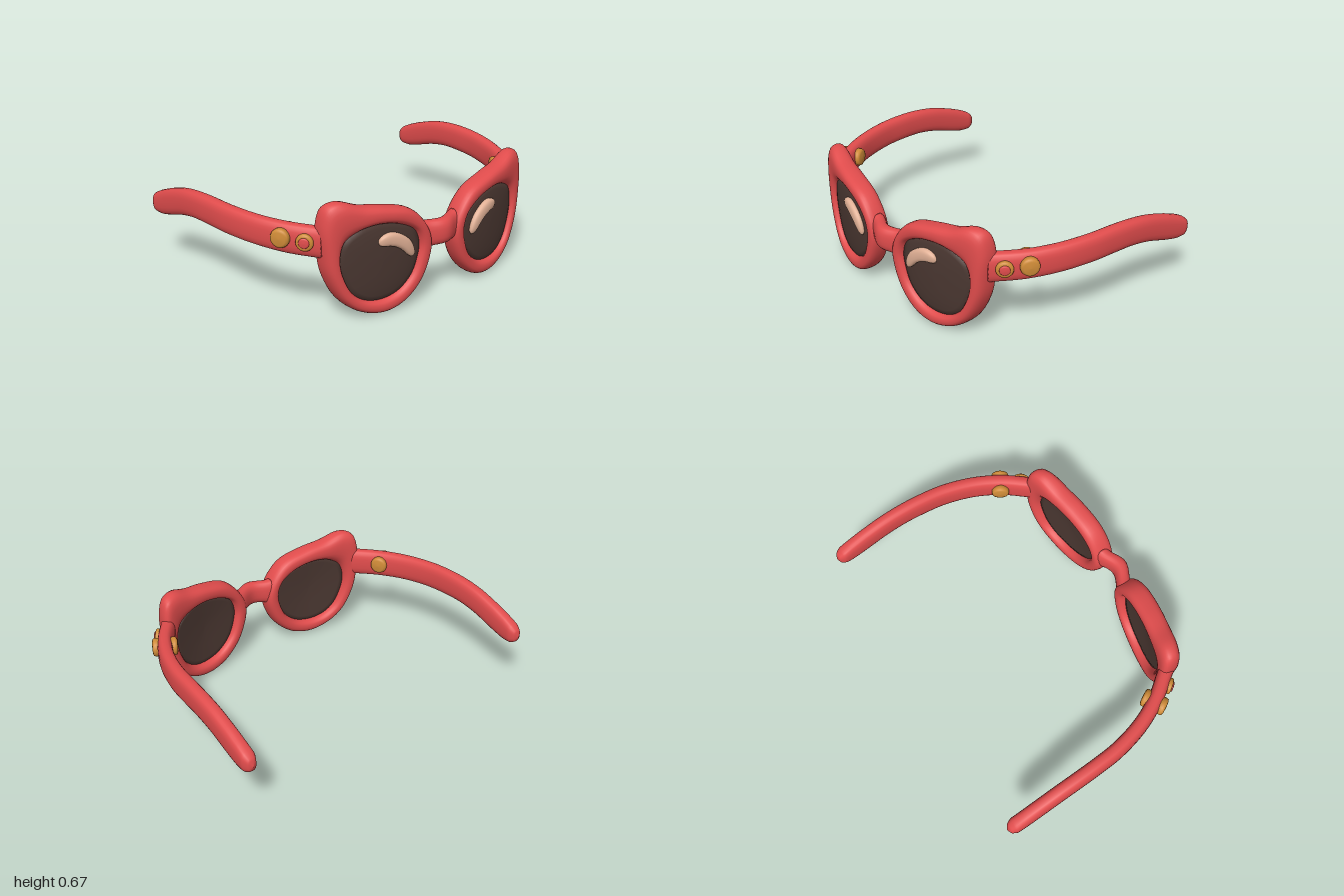
import * as THREE from 'three';

const V = (x, y, z) => new THREE.Vector3(x, y, z);
const mat = (name, color) => {
  const m = new THREE.MeshStandardMaterial({ color });
  m.name = name;
  return m;
};

// Smooth skin over rings of points; faces are turned outward, z mirrored on request
function loft(rings, closed, mirror) {
  const n = rings[0].length, pos = [], idx = [];
  rings.forEach(r => r.forEach(p => pos.push(p.x, p.y, mirror ? -p.z : p.z)));
  const last = closed ? rings.length : rings.length - 1;
  for (let i = 0; i < last; i++) for (let j = 0; j < n; j++) {
    const i2 = (i + 1) % rings.length, j2 = (j + 1) % n;
    const a = i * n + j, b = i * n + j2, c = i2 * n + j2, d = i2 * n + j;
    idx.push(a, b, c, a, c, d);
  }
  // signed volume decides the winding
  const at = k => V(pos[3 * k], pos[3 * k + 1], pos[3 * k + 2]);
  let vol = 0;
  for (let k = 0; k < idx.length; k += 3) vol += at(idx[k]).dot(at(idx[k + 1]).cross(at(idx[k + 2])));
  if (vol < 0) idx.reverse();
  const g = new THREE.BufferGeometry();
  g.setAttribute('position', new THREE.Float32BufferAttribute(pos, 3));
  g.setIndex(idx);
  g.computeVertexNormals();
  return g;
}

// Superellipse ring around p with half axes a and b
function ring(p, a, b, e = 2.5, n = 24) {
  const f = v => Math.sign(v) * Math.abs(v) ** (2 / e);
  return Array.from({ length: n }, (_, i) => {
    const t = i / n * Math.PI * 2;
    return p.clone().addScaledVector(a, f(Math.cos(t))).addScaledVector(b, f(Math.sin(t)));
  });
}

const bend = z => 0.65 - 0.23 * z * z; // wrap of the front
const outline = pts => new THREE.CatmullRomCurve3(pts.map(([z, y]) => V(0, y, z)), true, 'centripetal');

// Matching outer and inner rim outlines as [z, y]
const outer = outline([[.625, .67], [.69, .65], [.72, .56], [.715, .41], [.695, .28], [.625, .13], [.53, .045], [.395, .005],
  [.265, .035], [.155, .13], [.095, .25], [.08, .35], [.115, .45], [.21, .555], [.375, .605], [.505, .63]]);
const inner = outline([[.57, .475], [.6, .45], [.62, .41], [.63, .34], [.61, .25], [.56, .155], [.49, .105], [.395, .09],
  [.295, .115], [.215, .185], [.175, .28], [.165, .355], [.195, .435], [.28, .485], [.4, .513], [.5, .505]]);

function rimRings() {
  return Array.from({ length: 96 }, (_, i) => {
    const o = outer.getPoint(i / 96), n = inner.getPoint(i / 96);
    const p = o.clone().add(n).multiplyScalar(0.5), a = o.sub(n).multiplyScalar(0.5);
    return ring(p, a, V(0.064, 0, 0)).map(q => V(q.x + bend(q.z), q.y, q.z));
  });
}

// Shallow domed lens: [scale about its centre, offset along x]
function lensRings() {
  const steps = [[.001, -.01], [.5, -.012], [.9, -.02], [1.05, -.02], [1.05, .03], [.9, .037], [.7, .043], [.4, .047], [.001, .048]];
  return steps.map(([s, off]) => Array.from({ length: 64 }, (_, i) => {
    const q = inner.getPoint(i / 64);
    const z = 0.4 + (q.z - 0.4) * s, y = 0.31 + (q.y - 0.31) * s;
    return V(bend(z) + off, y, z);
  }));
}

// Bean-shaped highlight on the lens
function glareRings() {
  const c = new THREE.CatmullRomCurve3([[.43, .42], [.355, .427], [.275, .385], [.215, .3]].map(([z, y]) => V(0, y, z)));
  return Array.from({ length: 33 }, (_, i) => {
    const t = i / 32, p = c.getPoint(t), d = c.getTangent(t);
    const s = Math.max(0.002, (1 - Math.abs(2 * t - 1) ** 3) ** 0.5);
    const w = 0.04 - 0.006 * t;
    p.x = bend(p.z) + 0.05;
    return ring(p, V(0, d.z, -d.y).multiplyScalar(w * s), V(0.024 * s, 0, 0), 2.5, 20);
  });
}

// Temple arm: centre line x, y, z and half height
const arm = [[.53, .455, .685, .083], [.5, .456, .705, .084], [.375, .465, .797, .083], [.215, .477, .875, .081], [.03, .488, .924, .08],
  [-.13, .492, .94, .079], [-.25, .487, .946, .077], [-.37, .468, .949, .078], [-.5, .43, .951, .079],
  [-.6, .399, .952, .073], [-.66, .385, .952, .058], [-.69, .38, .952, .036], [-.703, .378, .952, .001]];
const armPath = new THREE.CatmullRomCurve3(arm.map(a => V(a[0], a[1], a[2])));
const armSize = new THREE.CatmullRomCurve3(arm.map(a => V(a[3], 0, 0)));
const armNormal = t => {
  const d = armPath.getTangent(t);
  return V(-d.z, 0, d.x).multiplyScalar(-1).normalize();
};

function armRings() {
  const rings = Array.from({ length: 73 }, (_, i) => {
    const t = i / 72, h = Math.max(0.001, armSize.getPoint(t).x);
    return ring(armPath.getPoint(t), V(0, h, 0), armNormal(t).multiplyScalar(0.043 * Math.min(1, h / 0.06)), 2.7);
  });
  rings.unshift(ring(armPath.getPoint(0), V(0, .001, 0), V(0, 0, .001)));
  return rings;
}

// Rounded button on the arm; side = 1 outside, -1 inside
function studRings(t, side, r, h, base, y) {
  const n = armNormal(t).multiplyScalar(side), u = V(0, 1, 0), w = n.clone().cross(u);
  const p = armPath.getPoint(t);
  p.y = y;
  return [[.001, -.02], [1, -.02], [1, h * .5], [.92, h * .85], [.7, h], [.001, h * 1.08]].map(([s, k]) =>
    ring(p.clone().addScaledVector(n, base + k), u.clone().multiplyScalar(r * s), w.clone().multiplyScalar(r * s), 2));
}

export function createModel() {
  const red = mat('red plastic', 0xe04c4c), dark = mat('dark lens', 0x4a3731);
  const peach = mat('peach highlight', 0xe2b196), gold = mat('gold', 0xd08c38);
  const model = new THREE.Group();
  model.name = 'sunglasses';
  const frame = new THREE.Group();
  frame.name = 'frame';
  const add = (name, rings, material, closed, mirror) => {
    const m = new THREE.Mesh(loft(rings, closed, mirror), material);
    m.name = name;
    frame.add(m);
  };

  // Parameter of the arm path at a given x
  const tAt = x => {
    let t = 0;
    while (armPath.getPoint(t).x > x) t += 0.002;
    return t;
  };
  const t1 = tAt(0.36), t2 = tAt(0.46);

  for (const mirror of [false, true]) {
    const side = mirror ? 'right' : 'left';
    add(side + 'Rim', rimRings(), red, true, mirror);
    add(side + 'Lens', lensRings(), dark, false, mirror);
    add(side + 'Highlight', glareRings(), peach, false, mirror);
    add(side + 'Temple', armRings(), red, false, mirror);
    add(side + 'OuterStud', studRings(t1, 1, 0.052, 0.03, 0.04, 0.477), gold, false, mirror);
    add(side + 'InnerStud', studRings(t1, -1, 0.052, 0.03, 0.04, 0.477), gold, false, mirror);
    add(side + 'HingeStud', studRings(t2, 1, 0.047, 0.022, 0.04, 0.465), gold, false, mirror);
    add(side + 'HingeStudCap', studRings(t2, 1, 0.029, 0.013, 0.057, 0.467), red, false, mirror);
  }

  // Bridge: arched forward, flaring into the rims
  const bridge = [];
  for (let i = -12; i <= 12; i++) {
    const k = i / 12, s = Math.abs(i) === 12 ? 0.01 : 1;
    const x = 0.64 + 0.045 * Math.cos(k * Math.PI / 2) ** 2;
    bridge.push(ring(V(x, 0.384 - 0.012 * k * k, 0.135 * k), V(0, (0.072 + 0.022 * k ** 4) * s, 0), V(0.046 * s, 0, 0)));
  }
  add('bridge', bridge, red, false, false);

  // Slight turn of the whole pair
  frame.rotation.y = -0.03;
  frame.position.z = 0.015;
  model.add(frame);
  return model;
}
